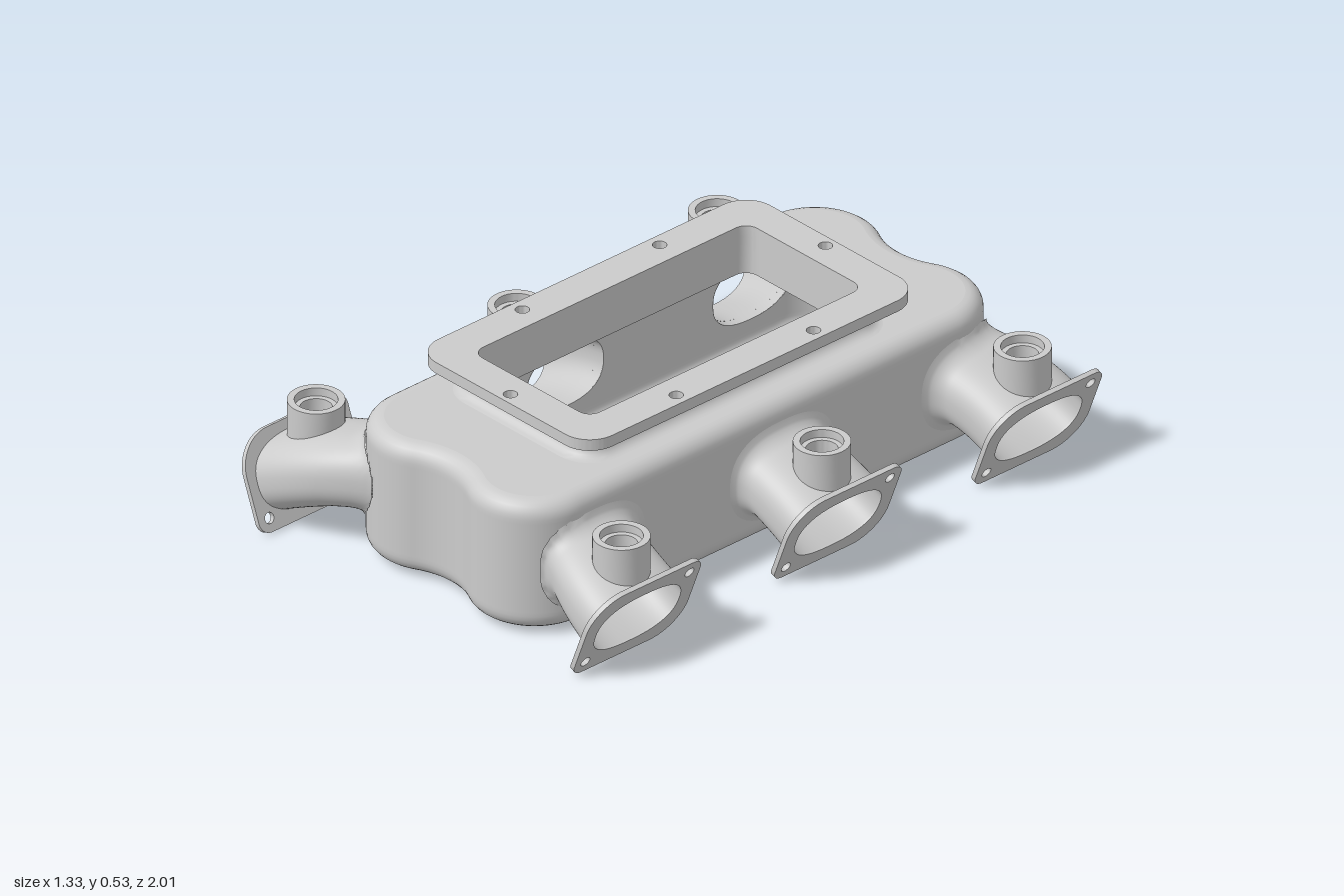
import * as THREE from 'three';
import { toCreasedNormals } from 'three/addons/utils/BufferGeometryUtils.js';

const mat = new THREE.MeshStandardMaterial({ color: 0xcccccc, side: THREE.DoubleSide });
const V3 = (x, y, z) => new THREE.Vector3(x, y, z);
const V2 = (x, y) => new THREE.Vector2(x, y);
const WALL = 0.035, BODY_Z = -0.025, POW = 2.5, TILT = 0.37, STUB_X = 0.55;

function mesh(name, geometry) {
  const m = new THREE.Mesh(geometry, mat);
  m.name = name;
  return m;
}

// Closed-around grid surface; holes are cut out and nearby vertices snapped to their rims
function gridGeometry(nu, nv, point, holes = []) {
  const pos = [], idx = [], cut = [];
  for (let j = 0; j <= nv; j++) for (let i = 0; i < nu; i++) {
    const p = point(i, j);
    let inside = false;
    for (const h of holes) {
      const f = h.measure(p);
      if (f < 0.9) inside = true;
      else if (f < 1.08) h.snap(p, f);
    }
    pos.push(p.x, p.y, p.z);
    cut.push(inside);
  }
  const tri = (a, b, c) => { if (!cut[a] && !cut[b] && !cut[c]) idx.push(a, b, c); };
  for (let j = 0; j < nv; j++) for (let i = 0; i < nu; i++) {
    const k = (i + 1) % nu, a = j * nu + i, b = j * nu + k, c = b + nu, d = a + nu;
    tri(a, d, b);
    tri(b, d, c);
  }
  const g = new THREE.BufferGeometry();
  g.setAttribute('position', new THREE.Float32BufferAttribute(pos, 3));
  g.setIndex(idx);
  g.computeVertexNormals();
  return g;
}

// Plan outline as points with outward normals
function sampleOutline(path, n, dz = 0) {
  const pts = path.getSpacedPoints(n).slice(0, n);
  return pts.map((p, i) => {
    const a = pts[(i + n - 1) % n], b = pts[(i + 1) % n];
    const nrm = V2(b.y - a.y, a.x - b.x).normalize();
    return { x: p.x, z: p.y + dz, nx: nrm.x, nz: nrm.y };
  });
}
const inset = (outline, d) => outline.map(o => V2(o.x - o.nx * d, o.z - o.nz * d));

// Sweep a profile of [inset, y] pairs round an outline
function sweep(outline, profile, holes) {
  return gridGeometry(outline.length, profile.length - 1, (i, j) => {
    const o = outline[i], [d, y] = profile[j];
    return V3(o.x - o.nx * d, y, o.z - o.nz * d);
  }, holes);
}

function roundedRect(w, h, radii) {
  const [tr, tl, bl, br] = radii, s = new THREE.Shape(), q = Math.PI / 2;
  s.moveTo(w, 0);
  s.absarc(w - tr, h - tr, tr, 0, q);
  s.absarc(-w + tl, h - tl, tl, q, 2 * q);
  s.absarc(-w + bl, -h + bl, bl, 2 * q, 3 * q);
  s.absarc(w - br, -h + br, br, 3 * q, 4 * q);
  s.closePath();
  return s;
}
const circle = (x, y, r) => new THREE.Path().absarc(x, y, r, 0, Math.PI * 2);

// Two-lobed body plan
function bodyPath() {
  const s = new THREE.Path(), a = 0.49, q = Math.PI / 2;
  s.moveTo(0.39, -0.705);
  s.lineTo(0.39, 0.705);
  s.absarc(0.2, 0.705, 0.19, 0, q + a);
  s.absarc(0, 1.08, 0.235, -q + a, -q - a, true);
  s.absarc(-0.2, 0.705, 0.19, q - a, 2 * q);
  s.lineTo(-0.39, -0.705);
  s.absarc(-0.2, -0.705, 0.19, 2 * q, 3 * q + a);
  s.absarc(0, -1.08, 0.235, q + a, q - a, true);
  s.absarc(0.2, -0.705, 0.19, 3 * q - a, 4 * q);
  return s;
}
const bodyOutline = sampleOutline(bodyPath(), 360, BODY_Z);

// Signed distance to the body wall, with the wall's x normal
function wallDistance(x, z) {
  let best = Infinity, near;
  for (const o of bodyOutline) {
    const d = (x - o.x) ** 2 + (z - o.z) ** 2;
    if (d < best) { best = d; near = o; }
  }
  return { d: (x - near.x) * near.nx + (z - near.z) * near.nz, nx: near.nx };
}

// Runner centre line and section size, t = 0 at its flange
const runner = (t, port) => ({
  x: 0.61 - 0.4 * t,
  y: 0.13 + 0.1 * (1 - (1 - t) ** 2),
  z: port.z + port.shift * t * t,
  hw: 0.17 - 0.02 * t, hh: 0.11,
  tilt: TILT * Math.max(0, 1 - t / 0.5),
});
const power = c => Math.sign(c) * Math.abs(c) ** (2 / POW);

function runnerGeometry(port, thin, target, dir, flare) {
  const nu = 72, nv = 44;
  const at = (i, t, grow = 0) => {
    const r = runner(t, port), th = i / nu * Math.PI * 2;
    const u = power(Math.cos(th)) * (r.hw - thin + grow), v = dir * power(Math.sin(th)) * (r.hh - thin + grow);
    return V3(r.x + v * Math.sin(r.tilt), r.y + v * Math.cos(r.tilt), r.z + u);
  };
  const ends = Array.from({ length: nu }, (_, i) => {
    let t = 0.2;
    for (; t < 1; t += 0.01) {
      const p = at(i, t);
      if (wallDistance(p.x, p.z).d < target) break;
    }
    return t;
  });
  const bore = {
    measure: p => p.y < 0.17 ? 9 : Math.hypot(p.x - STUB_X, p.z - port.z) / 0.045,
    snap: (p, f) => { p.x = STUB_X + (p.x - STUB_X) / f; p.z = port.z + (p.z - port.z) / f; },
  };
  return gridGeometry(nu, nv, (i, j) => {
    const t = ends[i] * j / nv, p = at(i, t);
    if (!flare) return p;
    const w = wallDistance(p.x, p.z), k = 1 - Math.min(1, Math.max(0, w.d / 0.05));
    return at(i, t, flare * (1 - Math.sqrt(1 - k * k)) * w.nx * w.nx);
  }, [bore]);
}

// Opening that a runner makes in the body wall
function wallHole(port) {
  const local = p => {
    const r = runner((0.61 - Math.abs(p.x)) / 0.4, port);
    return { r, u: p.z - r.z, v: p.y - r.y };
  };
  return {
    measure: p => {
      if (p.x * port.side < 0.2) return 9;
      const { r, u, v } = local(p);
      return (Math.abs(u / (r.hw - 0.015)) ** POW + Math.abs(v / (r.hh - 0.015)) ** POW) ** (1 / POW);
    },
    snap: (p, f) => { const { r, u, v } = local(p); p.z = r.z + u / f; p.y = r.y + v / f; },
  };
}

function portFlange(port) {
  const s = roundedRect(0.2, 0.14, [0.038, 0.11, 0.038, 0.11]);
  const opening = Array.from({ length: 64 }, (_, i) => {
    const a = i / 32 * Math.PI;
    return V2(0.155 * power(Math.cos(a)), 0.095 * power(Math.sin(a)));
  });
  s.holes.push(new THREE.Path(opening), circle(0.16, 0.1, 0.016), circle(-0.16, -0.1, 0.016));
  const g = new THREE.ExtrudeGeometry(s, { depth: 0.015, bevelEnabled: false, curveSegments: 16 });
  g.translate(0, 0, -0.01);
  const sn = Math.sin(TILT), cs = Math.cos(TILT);
  g.applyMatrix4(new THREE.Matrix4().makeBasis(V3(0, 0, -1), V3(sn, cs, 0), V3(cs, -sn, 0)).setPosition(0.61, 0.13, port.z));
  return toCreasedNormals(g, 0.6);
}

// Injector stub whose foot follows the runner's top
function stubGeometry(port) {
  const prof = [[0.08, 0.2], [0.08, 0.36], [0.06, 0.36], [0.06, 0.335], [0.045, 0.335], [0.045, 0.2]];
  const g = new THREE.LatheGeometry(prof.map(p => V2(...p)), 40);
  const a = g.attributes.position;
  for (let i = 0; i < a.count; i++) if (a.getY(i) < 0.25) {
    const r = runner((0.64 - STUB_X - a.getX(i)) / 0.4, port);
    a.setY(i, r.y + r.hh * (1 - Math.abs(a.getZ(i) / r.hw) ** POW) ** (1 / POW) - 0.014);
  }
  g.translate(STUB_X, 0, port.z);
  return toCreasedNormals(g, 0.6);
}

// Wall profile with rounded bottom and top edges
function wallProfile(d, y0, y1, r) {
  const out = [], n = 6;
  const arc = (cy, from) => {
    for (let i = 0; i <= n; i++) {
      const a = from + i / n * Math.PI / 2;
      out.push([d + r - r * Math.cos(a), cy + r * Math.sin(a)]);
    }
  };
  arc(y0 + r, -Math.PI / 2);
  for (let i = 1; i < 24; i++) out.push([d, y0 + r + (y1 - y0 - 2 * r) * i / 24]);
  arc(y1 - r, 0);
  return out;
}

function plate(points, y, hole, down) {
  const s = new THREE.Shape(points.map(p => V2(p.x, -p.y)));
  if (hole) s.holes.push(new THREE.Path(hole.map(p => V2(p.x, -p.y))));
  const g = new THREE.ShapeGeometry(s);
  g.rotateX(-Math.PI / 2);
  if (down) { g.index.array.reverse(); g.computeVertexNormals(); }
  return g.translate(0, y, 0);
}

export function createModel() {
  const model = new THREE.Group();
  model.name = 'intakePlenum';
  const ports = [
    [1, 0.68, -0.14], [1, -0.065, 0], [1, -0.81, 0.11],
    [-1, -0.69, 0.13], [-1, 0.055, 0], [-1, 0.8, -0.12],
  ].map(([side, z, shift]) => ({ side, z, shift }));
  const holes = ports.map(wallHole);

  // Hollow body
  const neckOutline = sampleOutline(roundedRect(0.27, 0.545, [0.075, 0.075, 0.075, 0.075]), 240);
  const opening = inset(neckOutline, WALL);
  model.add(
    mesh('bodyOuterWall', sweep(bodyOutline, wallProfile(0, 0.01, 0.415, 0.05), holes)),
    mesh('bodyInnerWall', sweep(bodyOutline, wallProfile(WALL, 0.045, 0.38, 0.03).reverse(), holes)),
    mesh('bodyBottom', plate(inset(bodyOutline, 0.05), 0.01, null, true)),
    mesh('bodyFloor', plate(inset(bodyOutline, WALL + 0.03), 0.045)),
    mesh('bodyTop', plate(inset(bodyOutline, 0.05), 0.415, opening)),
    mesh('bodyCeiling', plate(inset(bodyOutline, WALL + 0.03), 0.38, opening, true)),
  );

  // Neck with a flared foot
  const neck = [];
  for (let i = 0; i <= 6; i++) {
    const a = i / 6 * Math.PI / 2;
    neck.push([-0.035 * (1 - Math.sin(a)), 0.415 + 0.035 * (1 - Math.cos(a))]);
  }
  neck.push([0, 0.496], [WALL, 0.496], [WALL, 0.38]);
  model.add(mesh('neck', toCreasedNormals(sweep(neckOutline, neck), 0.6)));

  // Top mounting flange
  const top = roundedRect(0.35, 0.62, [0.09, 0.09, 0.09, 0.09]);
  top.holes.push(new THREE.Path(opening));
  for (const s of [-1, 1]) {
    top.holes.push(circle(0, s * 0.585, 0.02), circle(0.31, s * 0.255, 0.02), circle(-0.31, s * 0.255, 0.02));
  }
  const topG = new THREE.ExtrudeGeometry(top, { depth: 0.035, bevelEnabled: false, curveSegments: 16 });
  topG.rotateX(-Math.PI / 2).translate(0, 0.495, 0);
  model.add(mesh('topFlange', toCreasedNormals(topG, 0.6)));

  // Six runners, built on the left and mirrored for the right
  for (const port of ports) {
    const g = new THREE.Group();
    g.name = port.side > 0 ? 'leftRunner' : 'rightRunner';
    g.add(
      mesh('runnerOuter', runnerGeometry(port, 0, 0, -1, 0.035)),
      mesh('runnerInner', runnerGeometry(port, 0.015, -WALL, 1, 0)),
      mesh('runnerFlange', portFlange(port)),
      mesh('injectorStub', stubGeometry(port)),
    );
    g.scale.x = port.side;
    model.add(g);
  }
  return model;
}
